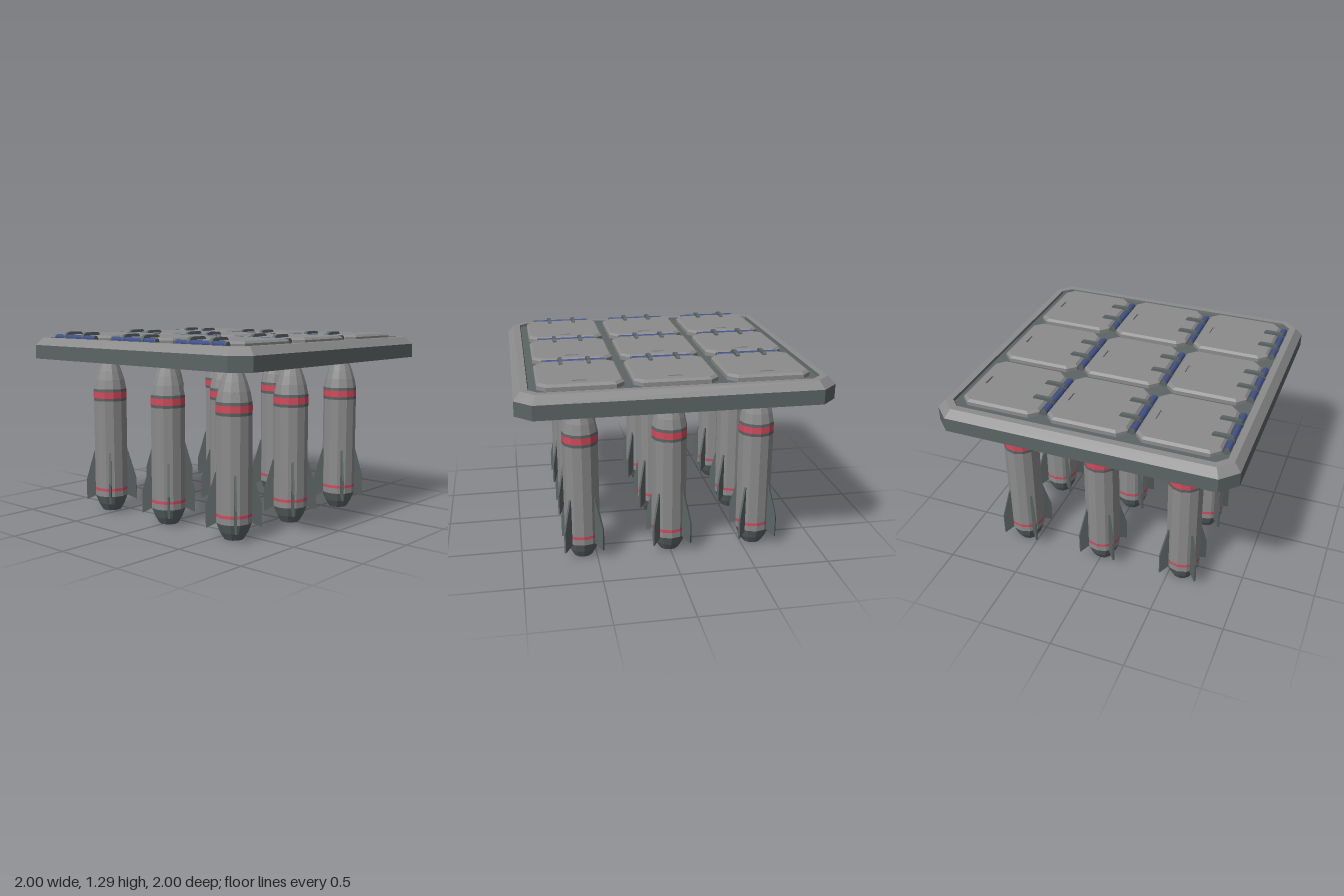
import * as THREE from 'three';

const mat = (name, color) => {
  const m = new THREE.MeshStandardMaterial({ color });
  m.name = name;
  return m;
};

// Octagonal outline: square of half-width h with corners cut by c
function outline(h, c) {
  const k = h - c;
  return [[-k, h], [k, h], [h, k], [h, -k], [k, -h], [-k, -h], [-h, -k], [-h, k]];
}

// Faceted skin through rings of [half-width, corner cut, y]; a zero ring closes an end
function loft(rings) {
  const pos = [];
  for (let i = 0; i + 1 < rings.length; i++) {
    const [h0, c0, y0] = rings[i], [h1, c1, y1] = rings[i + 1];
    const lo = outline(h0, c0), hi = outline(h1, c1);
    for (let k = 0; k < 8; k++) {
      const n = (k + 1) % 8;
      const a = [lo[k][0], y0, lo[k][1]], b = [lo[n][0], y0, lo[n][1]];
      const c = [hi[n][0], y1, hi[n][1]], d = [hi[k][0], y1, hi[k][1]];
      if (h0 > 0) pos.push(...a, ...b, ...c);
      if (h1 > 0) pos.push(...a, ...c, ...d);
    }
  }
  const g = new THREE.BufferGeometry();
  g.setAttribute('position', new THREE.Float32BufferAttribute(pos, 3));
  g.computeVertexNormals();
  return g;
}

// Twelve-sided faceted turning from [radius, y] points
function turned(points) {
  const g = new THREE.LatheGeometry(points.map(p => new THREE.Vector2(...p)), 12).toNonIndexed();
  g.computeVertexNormals();
  return g;
}

function shapeOf(points) {
  return new THREE.Shape(points.map(p => new THREE.Vector2(...p)));
}

// Extruded profile centred on its thickness
function plate(shape, depth) {
  return new THREE.ExtrudeGeometry(shape, { depth, bevelEnabled: false }).translate(0, 0, -depth / 2);
}

export function createModel() {
  const grey = mat('light grey', 0x8b8b8c);
  const dark = mat('dark grey', 0x5c6464);
  const red = mat('red', 0xd24a5c);
  const blue = mat('blue', 0x40528a);

  const model = new THREE.Group();
  model.name = 'missileLauncher';
  const add = (parent, name, geometry, material) => {
    const m = new THREE.Mesh(geometry, material);
    m.name = name;
    parent.add(m);
    return m;
  };

  // Deck: dark sides and underside, grey bevelled rim, sunken dark floor
  add(model, 'deckSides', loft([[0, 0, 1.105], [1, 0.105, 1.105], [1, 0.105, 1.2]]), dark);
  add(model, 'deckRim', loft([[1, 0.105, 1.2], [0.955, 0.085, 1.25], [0.91, 0.06, 1.25]]), grey);
  add(model, 'deckFloor', loft([[0.91, 0.06, 1.25], [0.905, 0.06, 1.235], [0, 0, 1.235]]), dark);

  // Hatch lid with a recessed grip slot near its free edge
  const lidSkirt = loft([[0.268, 0.055, 1.23], [0.268, 0.055, 1.26], [0.252, 0.05, 1.275]]);
  const lidShape = shapeOf(outline(0.252, 0.05));
  lidShape.holes.push(new THREE.Path([[0.18, -0.04], [0.2, -0.05], [0.2, 0.05], [0.18, 0.04]]
    .map(p => new THREE.Vector2(...p))));
  const lidTop = new THREE.ExtrudeGeometry(lidShape, { depth: 0.013, bevelEnabled: false })
    .rotateX(-Math.PI / 2).translate(0, 1.262, 0);
  const slotFloor = new THREE.BoxGeometry(0.04, 0.006, 0.12).translate(0.19, 1.259, 0);

  // Hinge rod and bent arm
  const rod = new THREE.CylinderGeometry(0.021, 0.021, 0.4, 8).rotateX(Math.PI / 2);
  const rodEnd = new THREE.CylinderGeometry(0.021, 0.021, 0.01, 8).rotateX(Math.PI / 2);
  const arm = plate(shapeOf([[-0.317, 1.24], [-0.275, 1.24], [-0.27, 1.272], [-0.17, 1.272],
    [-0.172, 1.283], [-0.185, 1.294], [-0.285, 1.294], [-0.305, 1.285], [-0.317, 1.265]]), 0.025);

  // Missile sections, bottom to top
  const sections = [
    ['nozzle', dark, [[0, 0], [0.065, 0], [0.095, 0.05], [0.118, 0.11]]],
    ['lowerBody', grey, [[0.118, 0.11], [0.118, 0.15]]],
    ['lowerStripe', red, [[0.118, 0.15], [0.118, 0.17]]],
    ['body', grey, [[0.118, 0.17], [0.118, 0.8]]],
    ['lowerCollar', dark, [[0.118, 0.8], [0.119, 0.82]]],
    ['collarStripe', red, [[0.119, 0.82], [0.119, 0.865]]],
    ['upperCollar', dark, [[0.119, 0.865], [0.117, 0.885]]],
    ['nose', grey, [[0.117, 0.885], [0.104, 0.95], [0.085, 1.01], [0.062, 1.07]]],
    ['noseTip', red, [[0.062, 1.07], [0.05, 1.095], [0.046, 1.105], [0, 1.106]]],
  ].map(([name, material, points]) => [name, material, turned(points)]);
  const fin = plate(shapeOf([[0.1, 0.11], [0.18, 0.07], [0.18, 0.22], [0.12, 0.43], [0.1, 0.43]]), 0.014);

  for (const x of [-0.59, 0, 0.59]) {
    for (const z of [-0.59, 0, 0.59]) {
      const hatch = new THREE.Group();
      hatch.name = 'hatch';
      hatch.position.set(x, 0, z);
      add(hatch, 'lidSkirt', lidSkirt, grey);
      add(hatch, 'lidTop', lidTop, grey);
      add(hatch, 'gripSlotFloor', slotFloor, grey);
      add(hatch, 'hingeRod', rod, blue).position.set(-0.295, 1.254, 0);
      for (const s of [-1, 1]) {
        add(hatch, 'hingeRodEnd', rodEnd, dark).position.set(-0.295, 1.254, s * 0.205);
        add(hatch, 'hingeArm', arm, dark).position.z = s * 0.092;
      }
      model.add(hatch);

      const missile = new THREE.Group();
      missile.name = 'missile';
      missile.position.set(x, 0, z);
      for (const [name, material, geometry] of sections) add(missile, name, geometry, material);
      // Four fins on the diagonals
      for (let i = 0; i < 4; i++) add(missile, 'fin', fin, dark).rotation.y = Math.PI / 4 + i * Math.PI / 2;
      model.add(missile);
    }
  }
  return model;
}
